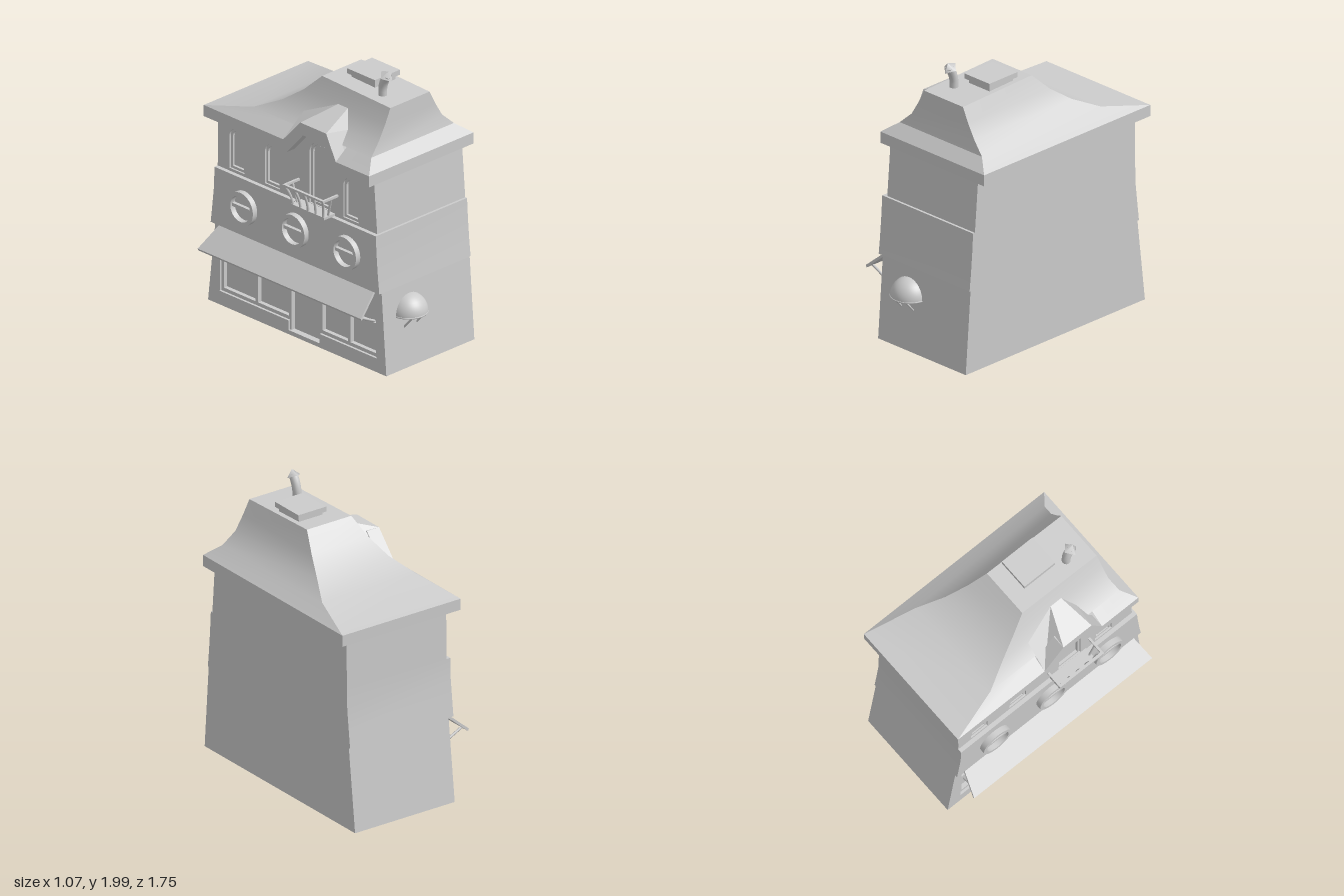
import * as THREE from 'three';
import { toCreasedNormals } from 'three/addons/utils/BufferGeometryUtils.js';

const mat = new THREE.MeshStandardMaterial({ color: 0xcccccc, side: THREE.DoubleSide });

export function createModel() {
  const model = new THREE.Group();

  const add = (name, geo, x = 0, y = 0, z = 0, parent = model) => {
    const m = new THREE.Mesh(geo, mat);
    m.name = name;
    m.position.set(x, y, z);
    parent.add(m);
    return m;
  };
  // Box given by its limits on each axis
  const box = (name, x0, x1, y0, y1, z0, z1, parent) =>
    add(name, new THREE.BoxGeometry(x1 - x0, y1 - y0, z1 - z0), (x0 + x1) / 2, (y0 + y1) / 2, (z0 + z1) / 2, parent);
  // Round bar between two points
  const bar = (name, a, b, r, parent) => {
    const p = new THREE.Vector3(...a), q = new THREE.Vector3(...b), d = q.clone().sub(p);
    const m = add(name, new THREE.CylinderGeometry(r, r, d.length(), 8), 0, 0, 0, parent);
    m.position.copy(p).add(q).multiplyScalar(0.5);
    m.quaternion.setFromUnitVectors(new THREE.Vector3(0, 1, 0), d.normalize());
    return m;
  };
  const quadGeo = (quads, crease = 0.5) => {
    const v = [];
    for (const [a, b, c, d] of quads) v.push(...a, ...b, ...c, ...a, ...c, ...d);
    const g = new THREE.BufferGeometry();
    g.setAttribute('position', new THREE.Float32BufferAttribute(v, 3));
    g.computeVertexNormals();
    return toCreasedNormals(g, crease);
  };
  // Rectangular rings [y, x0, x1, z0, z1, yFront] joined by walls; skip(row, side) leaves a wall out
  const loft = (rings, { top = true, bottom = true, skip = () => false } = {}) => {
    const R = rings.map(([y, x0, x1, z0, z1, yf = y]) => [[x0, yf, z1], [x1, yf, z1], [x1, y, z0], [x0, y, z0]]);
    const quads = [];
    for (let i = 0; i + 1 < R.length; i++)
      for (let k = 0; k < 4; k++) {
        const n = (k + 1) % 4;
        if (!skip(i, k)) quads.push([R[i][k], R[i][n], R[i + 1][n], R[i + 1][k]]);
      }
    if (top) quads.push(R[R.length - 1]);
    if (bottom) quads.push([...R[0]].reverse());
    return quads;
  };
  // Panel drawn in (z, y) and extruded towards -x
  const panel = (name, pts, holes, xInner, depth) => {
    const s = new THREE.Shape(pts.map(p => new THREE.Vector2(...p)));
    s.holes.push(...holes);
    const g = new THREE.ExtrudeGeometry(s, { depth, bevelEnabled: false, curveSegments: 12 });
    g.rotateY(-Math.PI / 2);
    return add(name, g, xInner);
  };
  const arch = (Type, z, y0, y1, w) => {
    const r = w / 2, p = new Type();
    p.moveTo(z - r, y0);
    p.lineTo(z + r, y0);
    p.lineTo(z + r, y1 - r);
    p.absarc(z, y1 - r, r, 0, Math.PI, false);
    p.closePath();
    return p;
  };

  // Tapering storeys, open underneath
  add('groundFloor', quadGeo(loft([[0, -0.36, 0.45, -0.87, 0.79], [0.6, -0.36, 0.45, -0.8, 0.745]],
    { bottom: false, skip: (i, k) => k === 3 })));
  add('middleFloor', quadGeo(loft([[0.59, -0.39, 0.45, -0.815, 0.755], [0.7, -0.39, 0.45, -0.802, 0.743],
    [0.86, -0.39, 0.45, -0.784, 0.73], [1.0, -0.39, 0.45, -0.78, 0.722]])));
  add('upperFloor', quadGeo(loft([[1.0, -0.33, 0.45, -0.78, 0.705], [1.38, -0.33, 0.45, -0.775, 0.675]])));

  // Shop front: recessed opening, panes, sills and glazing bars
  const opening = new THREE.Path([[-0.76, 0.1], [-0.12, 0.1], [-0.12, 0.03], [0.17, 0.03], [0.17, 0.1],
    [0.7, 0.1], [0.7, 0.47], [-0.76, 0.47]].map(p => new THREE.Vector2(...p)));
  panel('shopWall', [[-0.87, 0], [0.79, 0], [0.745, 0.6], [-0.8, 0.6]], [opening], -0.3, 0.06);
  box('shopGlass', -0.315, -0.305, 0.02, 0.48, -0.77, 0.71);
  for (const z of [-0.75, -0.43, -0.12, 0.17, 0.43, 0.69]) box('shopMullion', -0.345, -0.3, 0.03, 0.47, z - 0.012, z + 0.012);
  for (const [a, b] of [[-0.76, -0.12], [0.17, 0.7]]) {
    box('shopSill', -0.362, -0.29, 0.07, 0.1, a, b);
    box('shopFrameBottom', -0.345, -0.3, 0.1, 0.125, a, b);
    box('shopTransom', -0.335, -0.3, 0.32, 0.335, a, b);
  }
  box('shopFrameTop', -0.345, -0.3, 0.445, 0.47, -0.76, 0.7);

  // Sloping awning with braces
  const slope = (x, y, a, b) => [[x[0], y[0], a[0]], [x[0], y[0], b[0]], [x[1], y[1], b[1]], [x[1], y[1], a[1]]];
  const awnTop = slope([-0.535, -0.36], [0.452, 0.605], [-0.79, -0.74], [0.73, 0.69]);
  const awnLow = awnTop.map(([x, y, z]) => [x + 0.008, y - 0.016, z]);
  const awning = [awnTop, [...awnLow].reverse()];
  for (let k = 0; k < 4; k++) awning.push([awnLow[k], awnLow[(k + 1) % 4], awnTop[(k + 1) % 4], awnTop[k]]);
  add('awning', quadGeo(awning, 0.1));
  for (const z of [-0.73, 0.68]) bar('awningBrace', [-0.52, 0.445, z], [-0.36, 0.365, z], 0.009);

  // Round windows
  for (const z of [-0.5, -0.02, 0.46]) {
    const w = new THREE.Group();
    w.name = 'roundWindow';
    w.position.set(-0.39, 0.8, z);
    const ring = new THREE.Shape().absarc(0, 0, 0.118, 0, Math.PI * 2, false);
    ring.holes.push(new THREE.Path().absarc(0, 0, 0.092, 0, Math.PI * 2, true));
    const g = new THREE.ExtrudeGeometry(ring, { depth: 0.04, bevelEnabled: false, curveSegments: 24 });
    add('windowRing', toCreasedNormals(g.rotateY(-Math.PI / 2), 0.6), 0, 0, 0, w);
    box('windowBar', -0.025, 0, -0.012, 0.012, -0.095, 0.095, w);
    model.add(w);
  }

  // Upper wall with its gable and arched openings
  const arches = [[-0.6, 1.32, 0.14], [-0.27, 1.32, 0.14], [0.17, 1.48, 0.19], [0.46, 1.32, 0.14]];
  panel('upperWall', [[-0.78, 1], [0.705, 1], [0.675, 1.38], [0.36, 1.38], [0.285, 1.57], [0.075, 1.57], [-0.07, 1.38], [-0.775, 1.38]],
    arches.map(([z, y, w]) => arch(THREE.Path, z, 1.02, y, w)), -0.33, 0.03);
  box('gableBacking', -0.329, -0.3, 1.36, 1.56, 0.07, 0.28);
  for (const [z, y, w] of arches) {
    const s = arch(THREE.Shape, z, 1.02, y, w);
    s.holes.push(arch(THREE.Path, z, 1.038, y - 0.018, w - 0.036));
    const g = new THREE.ExtrudeGeometry(s, { depth: 0.018, bevelEnabled: false, curveSegments: 12 });
    add('archFrame', g.rotateY(-Math.PI / 2), -0.33);
  }

  // Balcony with flared railing
  const balcony = new THREE.Group();
  balcony.name = 'balcony';
  model.add(balcony);
  box('balconyFloor', -0.46, -0.36, 1.0, 1.018, 0, 0.31, balcony);
  box('frontRail', -0.505, -0.485, 1.148, 1.163, -0.03, 0.345, balcony);
  for (const [z, s] of [[-0.022, 0.012], [0.337, 0.298]]) {
    box('sideRail', -0.5, -0.36, 1.148, 1.163, z - 0.008, z + 0.008, balcony);
    bar('sidePost', [-0.41, 1.015, s], [-0.42, 1.15, z], 0.008, balcony);
  }
  for (let i = 0; i < 5; i++) {
    const t = i / 4;
    const curve = new THREE.QuadraticBezierCurve3(new THREE.Vector3(-0.452, 1.012, 0.015 + 0.28 * t),
      new THREE.Vector3(-0.455, 1.08, 0.008 + 0.296 * t), new THREE.Vector3(-0.495, 1.152, -0.018 + 0.35 * t));
    add('baluster', new THREE.TubeGeometry(curve, 6, 0.009, 6), 0, 0, 0, balcony);
  }

  // Eaves; the fascia climbs over the gable
  box('eaves', -0.33, 0.53, 1.36, 1.44, -0.84, 0.7);
  panel('fascia', [[-0.84, 1.36], [-0.065, 1.36], [0.085, 1.53], [0.275, 1.53], [0.35, 1.36], [0.7, 1.36], [0.7, 1.44],
    [0.39, 1.44], [0.3, 1.615], [0.06, 1.615], [-0.1, 1.44], [-0.84, 1.44]], [], -0.33, 0.1);

  // Flared roof, cut away in front of the dormer
  const roof = loft([[1.44, -0.43, 0.53, -0.84, 0.7], [1.515, -0.33, 0.43, -0.48, 0.62], [1.6, -0.24, 0.34, -0.3, 0.6],
    [1.7, -0.18, 0.28, -0.16, 0.598], [1.82, -0.13, 0.23, -0.04, 0.595, 1.8]],
    { bottom: false, skip: (i, k) => i === 0 && k === 3 });
  roof.push(slope([-0.43, -0.33], [1.44, 1.515], [-0.84, -0.48], [-0.1, -0.1]),
    slope([-0.43, -0.33], [1.44, 1.515], [0.39, 0.39], [0.7, 0.62]));
  add('roof', quadGeo(roof, 0.45));

  // Dormer roof: three planes running back into the main roof
  const front = [[-0.43, 1.44, -0.1], [-0.43, 1.615, 0.06], [-0.43, 1.615, 0.3], [-0.43, 1.44, 0.39]];
  const back = [[-0.25, 1.59, -0.09], [-0.18, 1.7, 0.16], [-0.18, 1.7, 0.25], [-0.25, 1.59, 0.32]];
  add('dormerRoof', quadGeo([0, 1, 2].map(i => [front[i], front[i + 1], back[i + 1], back[i]]), 0.1));

  // Roof hatch
  box('hatchBase', 0.005, 0.195, 1.8, 1.842, 0.095, 0.315);
  box('hatchLid', -0.015, 0.215, 1.84, 1.876, 0.075, 0.335);

  // Bent chimney pipe with pointed cap
  const pipe = new THREE.CatmullRomCurve3([[1.79, 0.42], [1.86, 0.422], [1.91, 0.437], [1.96, 0.466]]
    .map(([y, z]) => new THREE.Vector3(-0.028, y, z)));
  add('chimneyPipe', new THREE.TubeGeometry(pipe, 8, 0.03, 12));
  add('chimneyCap', new THREE.ConeGeometry(0.053, 0.05, 4).toNonIndexed(), -0.028, 1.97, 0.466).rotation.x = 0.45;

  // Domed canopy on the front with struts
  add('domeCanopy', new THREE.SphereGeometry(0.131, 24, 10, 0, Math.PI, 0, Math.PI / 2), -0.112, 0.38, 0.745);
  add('domeRim', new THREE.TorusGeometry(0.128, 0.006, 6, 24, Math.PI).rotateX(Math.PI / 2), -0.112, 0.38, 0.745);
  for (const x of [-0.17, -0.055]) bar('canopyStrut', [x, 0.375, 0.84], [x, 0.29, 0.765], 0.007);

  return model;
}
